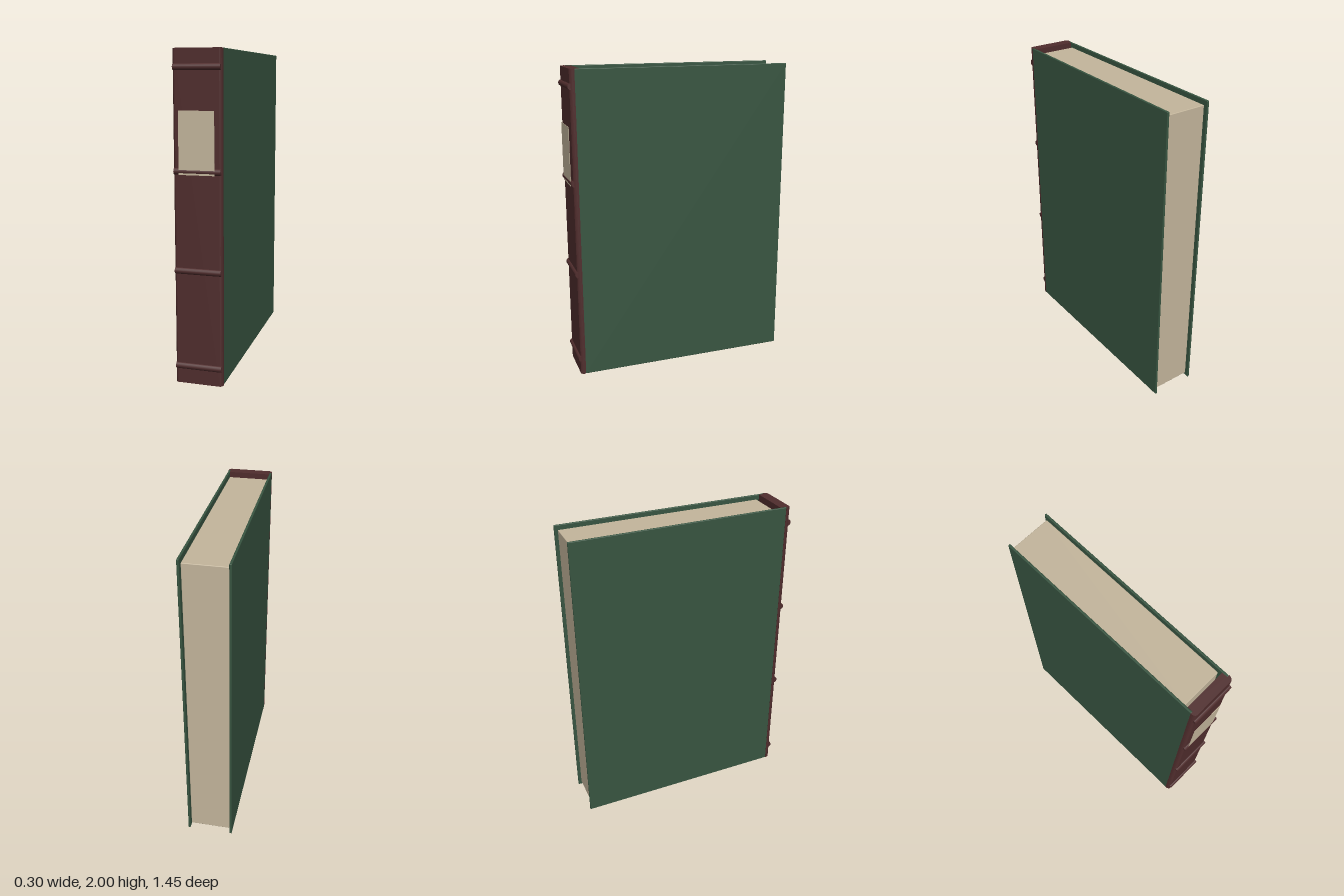
import * as THREE from 'three';
import { RoundedBoxGeometry } from 'three/addons/geometries/RoundedBoxGeometry.js';

export function createModel() {
  const book = new THREE.Group();
  book.name = 'book';

  const material = (name, color) => {
    const m = new THREE.MeshStandardMaterial({ color });
    m.name = name;
    return m;
  };
  const green = material('green cloth', 0x385541);
  const leather = material('dark red leather', 0x502d2d);
  const cream = material('cream paper', 0xc4b69c);

  const add = (name, geometry, mat, x, y, z) => {
    const mesh = new THREE.Mesh(geometry, mat);
    mesh.name = name;
    mesh.position.set(x, y, z);
    book.add(mesh);
    return mesh;
  };

  // Two cover boards, slightly larger than the pages
  for (const [name, side] of [['leftCover', 1], ['rightCover', -1]]) {
    add(name, new RoundedBoxGeometry(0.014, 2, 1.407, 2, 0.004), green, side * 0.141, 1, -0.0215);
  }

  // Page block, set back from the board edges
  add('pages', new RoundedBoxGeometry(0.26, 1.945, 1.33, 2, 0.004), cream, 0, 1, -0.04);

  // Spine: fits between the boards, then wraps their front edges
  const profile = new THREE.Shape();
  profile.moveTo(-0.134, -0.645);
  profile.lineTo(-0.134, -0.68);
  profile.lineTo(-0.149, -0.68);
  profile.quadraticCurveTo(-0.149, -0.705, -0.133, -0.711);
  profile.lineTo(0.133, -0.711);
  profile.quadraticCurveTo(0.149, -0.705, 0.149, -0.68);
  profile.lineTo(0.134, -0.68);
  profile.lineTo(0.134, -0.645);
  profile.closePath();
  const spineGeometry = new THREE.ExtrudeGeometry(profile, { depth: 2, bevelEnabled: false, curveSegments: 5 });
  spineGeometry.rotateX(-Math.PI / 2);
  add('spine', spineGeometry, leather, 0, 0, 0);

  // Raised bands across the spine
  const bandGeometry = new THREE.CylinderGeometry(0.02, 0.02, 0.284, 16);
  bandGeometry.rotateZ(Math.PI / 2);
  [0.11, 0.705, 1.3, 1.895].forEach((y, i) => {
    add('spineBand' + (i + 1), bandGeometry, leather, 0, y, 0.705);
  });

  // Blank title plate, standing just clear of the spine
  add('label', new THREE.BoxGeometry(0.216, 0.37, 0.003), cream, -0.002, 1.465, 0.721);

  return book;
}
